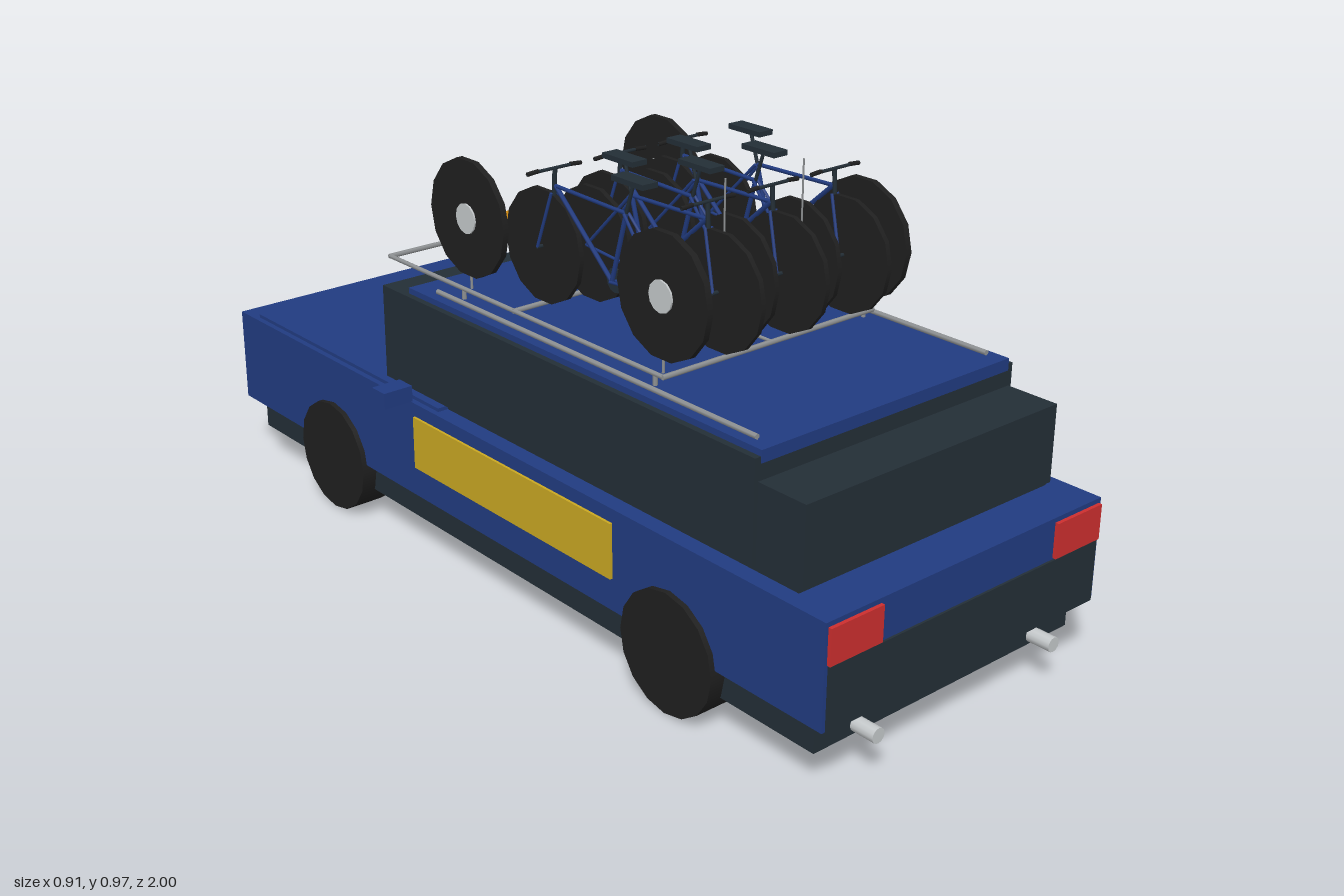
import * as THREE from 'three';

const mat = (name, color) => Object.assign(new THREE.MeshStandardMaterial({ color }), { name });

export function createModel() {
  const blue = mat('body blue', 0x213b80);
  const dark = mat('dark trim', 0x232e36);
  const black = mat('tyre black', 0x1f1f1f);
  const yellow = mat('panel yellow', 0xc9a722);
  const red = mat('tail red', 0xcc2e2e);
  const orange = mat('beacon orange', 0xcb860f);
  const silver = mat('light metal', 0xc4c8ca);
  const grey = mat('rack grey', 0x8f9294);

  const car = new THREE.Group();
  car.name = 'car';

  const add = (parent, name, geo, m) => {
    const mesh = new THREE.Mesh(geo, m);
    mesh.name = name;
    parent.add(mesh);
    return mesh;
  };
  // Box from its limits on each axis
  const box = (parent, name, m, [x0, x1], [y0, y1], [z0, z1]) => {
    const b = add(parent, name, new THREE.BoxGeometry(x1 - x0, y1 - y0, z1 - z0), m);
    b.position.set((x0 + x1) / 2, (y0 + y1) / 2, (z0 + z1) / 2);
    return b;
  };
  // Round bar between two points
  const rod = (parent, name, m, a, b, r, sides = 6) => {
    const p = new THREE.Vector3(...a), q = new THREE.Vector3(...b);
    const d = q.clone().sub(p);
    const mesh = add(parent, name, new THREE.CylinderGeometry(r, r, d.length(), sides), m);
    mesh.position.copy(p).add(q).multiplyScalar(0.5);
    mesh.quaternion.setFromUnitVectors(new THREE.Vector3(0, 1, 0), d.normalize());
    return mesh;
  };
  // Disc with its axle along x
  const disc = (parent, name, m, x, y, z, r, width, sides) => {
    const geo = new THREE.CylinderGeometry(r, r, width, sides).rotateZ(Math.PI / 2);
    const mesh = add(parent, name, geo, m);
    mesh.position.set(x, y, z);
    return mesh;
  };

  // Body shell
  box(car, 'lowerSill', dark, [-0.355, 0.355], [0.08, 0.15], [-0.94, 0.945]);
  box(car, 'body', blue, [-0.378, 0.378], [0.15, 0.37], [-0.988, 0.984]);
  box(car, 'hood', blue, [-0.365, 0.365], [0.37, 0.378], [-0.925, -0.18]);
  box(car, 'beltLine', dark, [-0.34, 0.34], [0.37, 0.385], [-0.39, 0.88]);
  box(car, 'cabin', dark, [-0.348, 0.348], [0.38, 0.593], [-0.4, 0.77]);
  box(car, 'rearWindow', dark, [-0.34, 0.34], [0.38, 0.546], [0.77, 0.89]);
  box(car, 'roof', blue, [-0.334, 0.334], [0.58, 0.606], [-0.32, 0.772]);

  // Tail and nose details
  box(car, 'rearBumper', dark, [-0.37, 0.37], [0.15, 0.282], [0.984, 0.989]);
  box(car, 'grille', dark, [-0.29, 0.29], [0.18, 0.285], [-0.995, -0.988]);
  box(car, 'numberPlate', yellow, [-0.113, 0.113], [0.163, 0.22], [-1, -0.993]);

  for (const s of [-1, 1]) {
    const side = (a, b) => [Math.min(a * s, b * s), Math.max(a * s, b * s)];
    box(car, 'tailLight', red, side(0.24, 0.372), [0.285, 0.36], [0.984, 0.992]);
    box(car, 'headlight', silver, side(0.24, 0.372), [0.29, 0.355], [-0.991, -0.987]);
    box(car, 'doorPanel', yellow, side(0.378, 0.384), [0.22, 0.34], [-0.25, 0.415]);
    box(car, 'mirror', blue, side(0.384, 0.455), [0.378, 0.414], [-0.295, -0.248]);
    rod(car, 'exhaust', silver, [s * 0.247, 0.1, 0.94], [s * 0.247, 0.1, 1], 0.016, 12);
    for (const z of [-0.583, 0.583])
      disc(car, 'wheel', black, s * 0.345, 0.134, z, 0.13, 0.09, 16);
  }

  // Roof rack
  const rack = new THREE.Group();
  rack.name = 'roofRack';
  car.add(rack);
  for (const z of [-0.463, -0.01, 0.453])
    rod(rack, 'crossBar', grey, [-0.287, 0.629, z], [0.287, 0.629, z], 0.0055);
  rod(rack, 'centreBar', grey, [0, 0.629, -0.463], [0, 0.629, 0.453], 0.004);
  for (const s of [-1, 1]) {
    rod(rack, 'sideBar', grey, [s * 0.284, 0.629, -0.463], [s * 0.284, 0.629, 0.453], 0.0055);
    rod(rack, 'roofRail', grey, [s * 0.31, 0.612, -0.245], [s * 0.31, 0.612, 0.735], 0.006);
    for (const z of [-0.185, 0.43]) {
      rod(rack, 'rackPost', grey, [s * 0.284, 0.604, z], [s * 0.284, 0.629, z], 0.005);
      rod(rack, 'wheelHolder', grey, [s * 0.264, 0.625, z], [s * 0.264, 0.7, z], 0.003);
    }
    rod(rack, 'antenna', grey, [s * 0.104, 0.63, 0.42], [s * 0.104, 0.975, 0.42], 0.002);
  }
  box(rack, 'beacon', orange, [-0.1, 0.1], [0.645, 0.673], [-0.45, -0.4]);

  // Spare bicycle wheels standing at the rack corners
  for (const s of [-1, 1]) for (const z of [-0.185, 0.432]) {
    disc(rack, 'spareWheel', black, s * 0.265, 0.782, z, 0.129, 0.014, 14);
    disc(rack, 'spareHub', silver, s * 0.266, 0.782, z, 0.033, 0.02, 12);
  }

  // One bicycle: nose towards -z, front axle at z = 0
  const makeBike = () => {
    const bike = new THREE.Group();
    bike.name = 'bicycle';
    const axleY = 0.76, rearZ = 0.38;
    const head = [0, 0.895, 0.04], seatJoint = [0, 0.89, 0.258], crank = [0, 0.74, 0.215];
    for (const z of [0, rearZ]) {
      disc(bike, 'bikeWheel', black, 0, axleY, z, 0.123, 0.011, 14);
      rod(bike, 'axle', dark, [-0.019, axleY, z], [0.019, axleY, z], 0.004);
    }
    for (const s of [-1, 1]) {
      rod(bike, 'fork', blue, [s * 0.008, 0.88, 0.035], [s * 0.018, axleY, 0], 0.0035);
      rod(bike, 'seatStay', blue, [s * 0.006, 0.89, 0.258], [s * 0.018, axleY, rearZ], 0.0035);
      rod(bike, 'chainStay', blue, [s * 0.006, 0.74, 0.215], [s * 0.018, axleY, rearZ], 0.0035);
      rod(bike, 'grip', black, [s * 0.04, 0.932, 0.036], [s * 0.068, 0.93, 0.036], 0.0045);
    }
    rod(bike, 'topTube', blue, head, seatJoint, 0.0045);
    rod(bike, 'downTube', blue, head, crank, 0.005);
    rod(bike, 'seatTube', blue, crank, seatJoint, 0.005);
    rod(bike, 'seatPost', dark, seatJoint, [0, 0.955, 0.28], 0.004);
    rod(bike, 'stem', dark, [0, 0.87, 0.034], [0, 0.932, 0.038], 0.005);
    rod(bike, 'handlebar', dark, [-0.068, 0.931, 0.036], [0.068, 0.931, 0.036], 0.0035);
    box(bike, 'saddle', dark, [-0.019, 0.019], [0.955, 0.966], [0.235, 0.328]);
    disc(bike, 'chainring', dark, 0.01, 0.74, 0.215, 0.026, 0.005, 12);
    box(bike, 'crankArm', dark, [0.018, 0.024], [0.715, 0.757], [0.19, 0.24]);
    return bike;
  };

  // Six bicycles, alternately reversed
  [-0.215, -0.13, -0.044, 0.04, 0.127, 0.212].forEach((x, i) => {
    const bike = makeBike();
    bike.position.set(x, 0, i % 2 ? 0.438 : 0.005);
    if (i % 2) bike.scale.z = -1;
    rack.add(bike);
  });

  return car;
}
